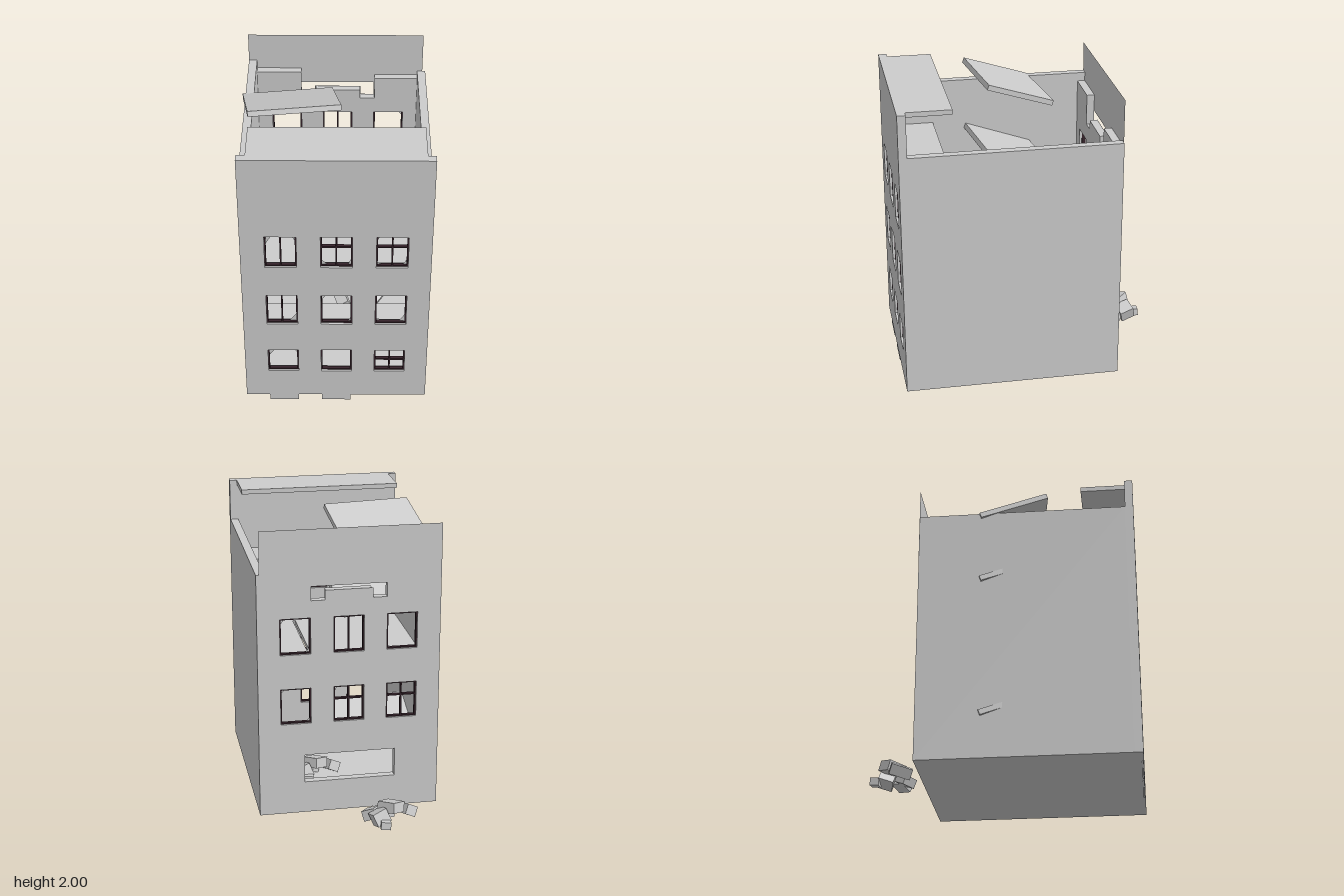
import * as THREE from 'three';

const concrete = new THREE.MeshStandardMaterial({ color: 0xcccccc, side: THREE.DoubleSide });
concrete.name = 'concrete';
const frameDark = new THREE.MeshStandardMaterial({ color: 0x35222a });
frameDark.name = 'dark frame';

const COLS = [-0.337, 0.013, 0.363];
const ROWS = [[0.27, 0.46], [0.69, 0.935], [1.17, 1.415]];
const HW = 0.1;

export function createModel() {
  const model = new THREE.Group();
  model.name = 'ruinedBuilding';

  const add = (name, geo, mat = concrete, parent = model) => {
    const m = new THREE.Mesh(geo, mat);
    m.name = name;
    parent.add(m);
    return m;
  };
  // box given by its extents
  const block = (name, x0, x1, y0, y1, z0, z1, mat, parent) => {
    const m = add(name, new THREE.BoxGeometry(x1 - x0, y1 - y0, z1 - z0), mat, parent);
    m.position.set((x0 + x1) / 2, (y0 + y1) / 2, (z0 + z1) / 2);
    return m;
  };
  const poly = (pts) => pts.map(([x, y]) => new THREE.Vector2(x, y));
  const rect = (x0, x1, y0, y1) => poly([[x0, y0], [x1, y0], [x1, y1], [x0, y1]]);
  // wall outline with openings, extruded along z
  const wall = (name, outline, holes, z0, depth) => {
    const s = new THREE.Shape(outline);
    holes.forEach((h) => s.holes.push(new THREE.Path(h)));
    const geo = new THREE.ExtrudeGeometry(s, { depth, bevelEnabled: false });
    add(name, geo).position.z = z0;
  };
  const windowHoles = (rows) => rows.flatMap(([y0, y1]) =>
    COLS.map((c) => rect(c - HW, c + HW, y0, y1)));

  // outer walls
  wall('frontWall', rect(-0.59, 0.61, 0.05, 2), windowHoles(ROWS), 0.83, 0.055);
  wall('backWall', poly([
    [-0.535, 0.05], [0.555, 0.05], [0.555, 1.69], [0.265, 1.69], [0.265, 1.53], [0.165, 1.53],
    [0.165, 1.595], [-0.135, 1.595], [-0.135, 1.53], [-0.235, 1.53], [-0.235, 1.74], [-0.535, 1.74],
  ]), [...windowHoles(ROWS.slice(1)), rect(-0.297, 0.308, 0.27, 0.465)], -0.549, 0.052);
  block('leftWall', 0.555, 0.61, 0.05, 1.717, -0.549, 0.83);
  block('rightWall', -0.59, -0.535, 0.05, 1.8, -0.549, 0.83);

  // paper-thin upper facade at the back, with the broken opening
  const facade = new THREE.Shape(rect(-0.59, 0.59, 1.5, 2));
  facade.holes.push(new THREE.Path(poly([
    [-0.25, 1.53], [-0.145, 1.53], [-0.145, 1.595], [0.17, 1.595],
    [0.17, 1.53], [0.26, 1.53], [0.26, 1.625], [-0.25, 1.625],
  ])));
  add('backFacade', new THREE.ShapeGeometry(facade)).position.z = -0.55;

  // floors: base, broken front strips, and the standing middle floor
  block('groundFloor', -0.589, 0.609, 0.05, 0.08, -0.548, 0.84);
  block('roofStrip', -0.535, 0.56, 1.968, 2, 0.535, 0.84);
  for (const y of [0.555, 1.03, 1.5]) block('floorStrip', -0.54, 0.56, y - 0.032, y, 0.53, 0.835);
  block('middleFloorMain', -0.54, 0.198, 0.998, 1.03, -0.5, 0.53);
  block('middleFloorSide', 0.216, 0.56, 0.998, 1.03, -0.115, 0.53);

  // collapsed, tilted floor slabs
  for (const y of [1.86, 1.384, 0.43]) {
    const slab = add('fallenSlab', new THREE.BoxGeometry(0.595, 0.036, 0.475));
    slab.rotation.set(-0.34, 0.135, 0, 'YXZ');
    slab.position.set(-0.285, y, 0.047);
  }

  // plates hanging below the front edge
  for (const c of COLS.slice(0, 2)) block('footPlate', c - 0.097, c + 0.097, 0, 0.06, 0.872, 0.882);

  // window frame, optional bars (v, h) and triangular shards in listed corners
  const addWindow = (col, row, z, bars, shards) => {
    const g = new THREE.Group();
    g.name = 'window';
    const c = COLS[col], [y0, y1] = ROWS[row], t = 0.009, d = 0.012;
    const x0 = c - HW, x1 = c + HW, my = y0 + (y1 - y0) * (row ? 0.63 : 0.5);
    const bar = (n, a, b, e, f) => block(n, a, b, e, f, z - d, z + d, frameDark, g);
    bar('frameSide', x0, x0 + t, y0, y1);
    bar('frameSide', x1 - t, x1, y0, y1);
    bar('frameSill', x0, x1, y0, y0 + t);
    bar('frameHead', x0, x1, y1 - t, y1);
    if (bars.includes('v')) bar('mullion', c - 0.005, c + 0.005, y0, y1);
    if (bars.includes('h')) bar('transom', x0, x1, my - 0.005, my + 0.005);
    for (const [sx, sy, w, h] of shards) {
      const x = sx > 0 ? x1 : x0, y = sy > 0 ? y1 : y0;
      const tri = new THREE.Shape(poly([[x, y], [x - sx * w, y], [x, y - sy * h]]));
      add('glassShard', new THREE.ShapeGeometry(tri), concrete, g).position.z = z;
    }
    model.add(g);
  };
  const F = 0.858, B = -0.525;
  addWindow(0, 2, F, 'v', [[-1, 1, 0.05, 0.09], [1, 1, 0.04, 0.06]]);
  addWindow(1, 2, F, 'vh', [[-1, -1, 0.05, 0.05], [1, -1, 0.03, 0.07]]);
  addWindow(2, 2, F, 'vh', [[-1, 1, 0.04, 0.04], [1, -1, 0.04, 0.06], [-1, -1, 0.05, 0.03]]);
  addWindow(0, 1, F, 'v', [[1, -1, 0.06, 0.08]]);
  addWindow(1, 1, F, '', [[-1, 1, 0.05, 0.06], [1, -1, 0.03, 0.05]]);
  addWindow(2, 1, F, '', [[-1, 1, 0.03, 0.04], [1, -1, 0.05, 0.08]]);
  addWindow(0, 0, F, '', [[-1, 1, 0.06, 0.08], [1, 1, 0.04, 0.06]]);
  addWindow(1, 0, F, '', []);
  addWindow(2, 0, F, 'vh', []);
  addWindow(0, 2, B, '', [[1, -1, 0.04, 0.03]]);
  addWindow(1, 2, B, 'v', []);
  addWindow(2, 2, B, '', [[1, 1, 0.04, 0.05], [-1, -1, 0.04, 0.04]]);
  addWindow(0, 1, B, 'vh', []);
  addWindow(1, 1, B, 'vh', [[1, 1, 0.03, 0.06]]);
  addWindow(2, 1, B, '', [[1, 1, 0.04, 0.04], [-1, -1, 0.04, 0.04]]);

  // rubble piles: size, position, rotation of each chunk
  const chunks = [
    [0.08, 0.07, 0.14, -0.355, 0.07, -0.665, 0.25, 0.35, 0.4],
    [0.12, 0.07, 0.13, -0.235, 0.135, -0.74, 0.2, 0.75, 0.1],
    [0.065, 0.05, 0.06, -0.175, 0.065, -0.86, 0.1, -0.1, 0.1],
    [0.1, 0.09, 0.1, -0.15, 0.09, -0.79, 0.3, 0.15, -0.4],
    [0.09, 0.07, 0.1, -0.115, 0.07, -0.69, 0.2, -0.6, -0.3],
    [0.1, 0.06, 0.09, -0.215, 0.055, -0.655, 0.5, -0.6, 0.2],
  ];
  const pile = (name, x, y, z) => {
    const g = new THREE.Group();
    g.name = name;
    for (const [w, h, d, px, py, pz, rx, ry, rz] of chunks) {
      const m = add('rubbleChunk', new THREE.BoxGeometry(w, h, d), concrete, g);
      m.position.set(px, py, pz);
      m.rotation.set(rx, ry, rz);
    }
    g.position.set(x, y, z);
    model.add(g);
  };
  pile('outerRubble', 0, 0, 0);
  pile('innerRubble', 0.4, 0.06, 0.66);

  return model;
}
